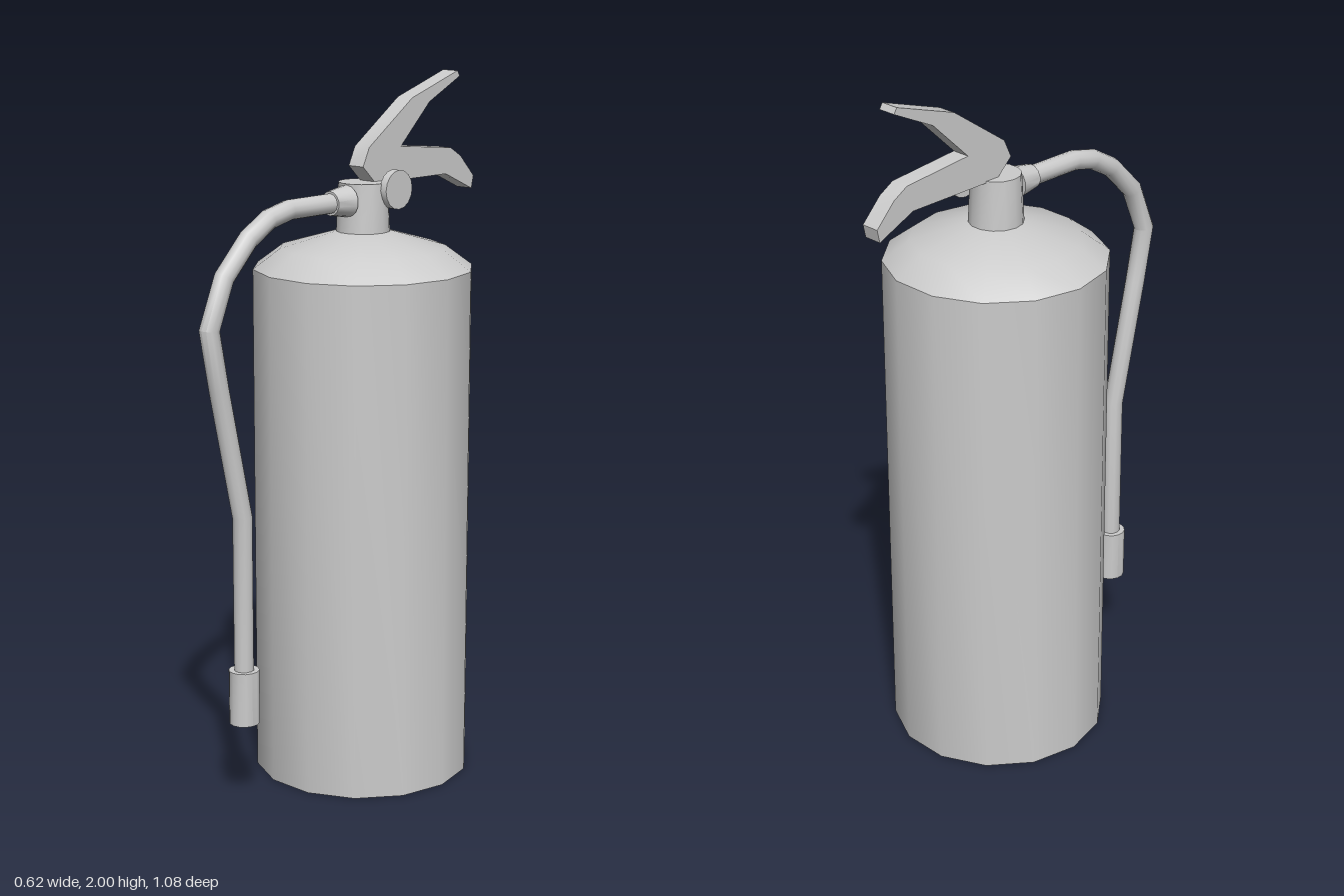
import * as THREE from 'three';
import { toCreasedNormals } from 'three/addons/utils/BufferGeometryUtils.js';

const AXIS_Z = -0.085; // the cylinder stands a little behind the centre
const SIDES = 14;

export function createModel() {
  const model = new THREE.Group();
  model.name = 'fireExtinguisher';
  const material = new THREE.MeshStandardMaterial({ color: 0xcccccc });

  const add = (name, geometry, x = 0, y = 0, z = 0) => {
    const mesh = new THREE.Mesh(toCreasedNormals(geometry, 0.7), material);
    mesh.name = name;
    mesh.position.set(x, y, z);
    model.add(mesh);
    return mesh;
  };

  // Tank with sloping shoulder and closed base
  const profile = [[0, 0], [0.312, 0], [0.312, 1.475], [0.235, 1.532], [0.075, 1.578], [0, 1.578]]
    .map(([r, y]) => new THREE.Vector2(r, y));
  add('tank', new THREE.LatheGeometry(profile, SIDES, Math.PI / 2), 0, 0, AXIS_Z);

  // Valve neck
  const neck = new THREE.CylinderGeometry(0.07, 0.077, 0.15, SIDES);
  neck.rotateY(Math.PI / 2);
  add('valveNeck', neck, 0, 1.64, AXIS_Z);

  // Pressure gauge on the left side
  const gauge = new THREE.CylinderGeometry(0.055, 0.055, 0.024, 16);
  gauge.rotateZ(Math.PI / 2);
  add('pressureGauge', gauge, 0.078, 1.695, -0.135);

  // Carrying handle and squeeze lever, one forked plate: [z, y]
  const fork = [
    [-0.055, 1.76], [-0.08, 1.812], [-0.26, 1.936], [-0.457, 2.0], [-0.467, 1.984],
    [-0.335, 1.92], [-0.213, 1.804], [-0.43, 1.782], [-0.475, 1.755], [-0.535, 1.692],
    [-0.527, 1.655], [-0.41, 1.708], [-0.155, 1.71], [-0.105, 1.712],
  ].map(([z, y]) => new THREE.Vector2(-z, y));
  const lever = new THREE.ExtrudeGeometry(new THREE.Shape(fork), { depth: 0.054, bevelEnabled: false });
  lever.translate(0, 0, -0.027);
  lever.rotateY(Math.PI / 2); // shape x becomes -z
  add('handleLevers', lever);

  // Hose outlet on the front of the neck
  const outlet = new THREE.CylinderGeometry(0.034, 0.045, 0.067, SIDES);
  outlet.rotateX(Math.PI / 2);
  add('hoseOutlet', outlet, 0, 1.667, 0.017);

  // Hose with mitred bends, and its nozzle
  const path = [
    [0.03, 1.667], [0.215, 1.667], [0.29, 1.65], [0.368, 1.605], [0.46, 1.512],
    [0.516, 1.379], [0.484, 1.215], [0.402, 0.846], [0.402, 0.36],
  ].map(([z, y]) => new THREE.Vector2(z, y));
  add('hose', mitredHose(path, 0.028, 12));
  add('nozzle', new THREE.CylinderGeometry(0.043, 0.043, 0.155, SIDES), 0, 0.328, 0.402);

  return model;
}

// Bends an open cylinder along a (z, y) path, one ring of vertices per point
function mitredHose(path, radius, sides) {
  const last = path.length - 1;
  const geometry = new THREE.CylinderGeometry(radius, radius, 1, sides, last, true);
  const position = geometry.attributes.position;
  const direction = (i) => path[i + 1].clone().sub(path[i]).normalize();
  for (let row = 0; row <= last; row++) {
    const before = direction(Math.max(row - 1, 0));
    const after = direction(Math.min(row, last - 1));
    const t = before.clone().add(after).normalize();
    const stretch = 1 / t.dot(after);
    for (let s = 0; s <= sides; s++) {
      const i = row * (sides + 1) + s;
      const d = position.getZ(i) * stretch;
      position.setXYZ(i, position.getX(i), path[row].y + d * t.x, path[row].x - d * t.y);
    }
  }
  return geometry;
}
